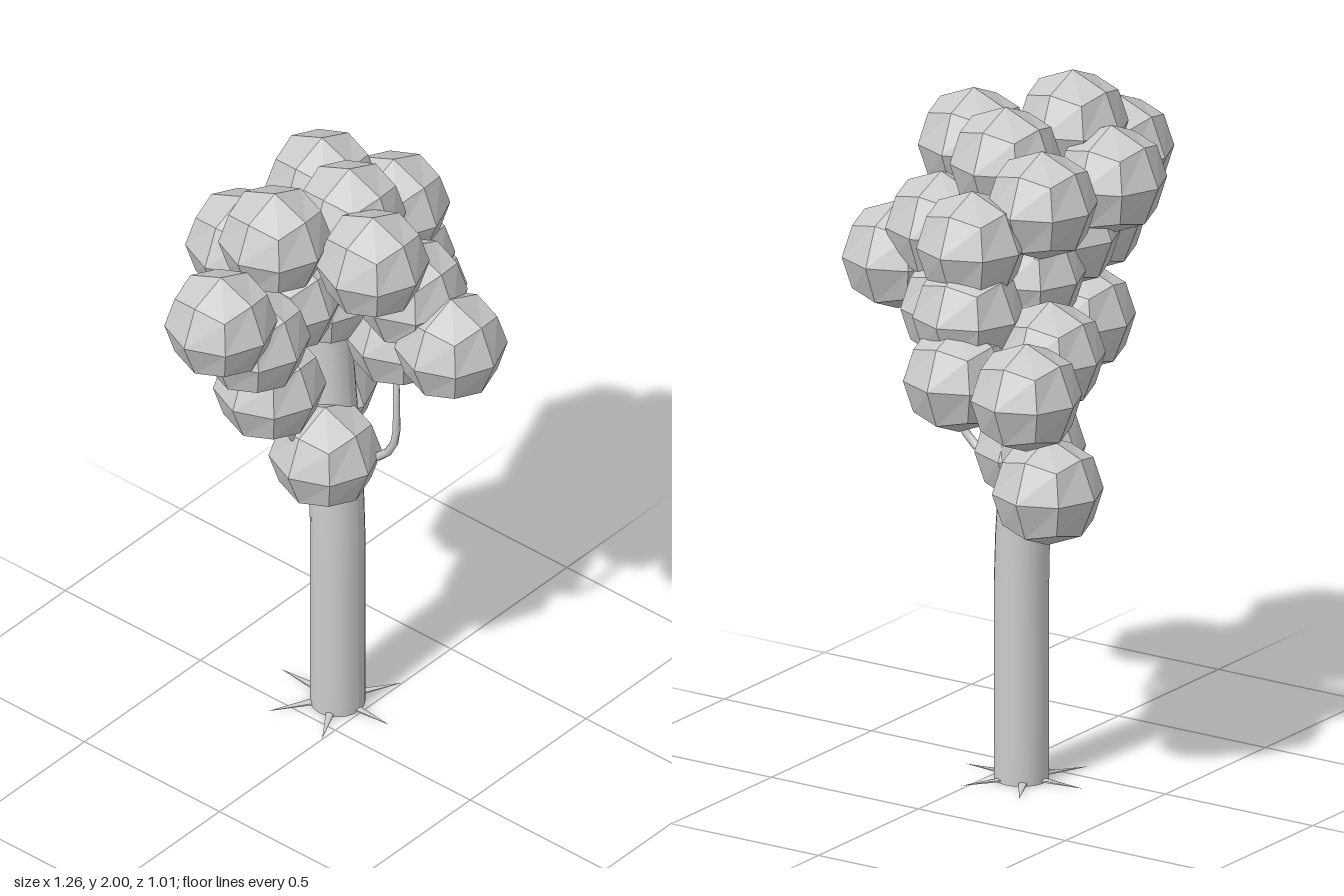
import * as THREE from 'three';

const V = (x, y, z) => new THREE.Vector3(x, y, z);
const TRUNK = { x: 0.11, z: -0.085, r: 0.078, h: 1.46 };

// the trunk leans gently backwards above its middle
const lean = (y) => -0.035 * THREE.MathUtils.smoothstep(y, 0.55, 1.4);

function trunkGeometry() {
  const g = new THREE.CylinderGeometry(TRUNK.r, TRUNK.r, TRUNK.h, 24, 10);
  g.translate(0, TRUNK.h / 2, 0);
  const p = g.attributes.position;
  for (let i = 0; i < p.count; i++) {
    const y = p.getY(i);
    const s = 1 - 0.14 * THREE.MathUtils.smoothstep(y, 0.6, 1.4);
    p.setXYZ(i, p.getX(i) * s + TRUNK.x, y, p.getZ(i) * s + TRUNK.z + lean(y));
  }
  g.computeVertexNormals();
  return g;
}

// a cube with 2 x 2 faces per side, pushed out onto a sphere
function leafBallGeometry(radius) {
  const g = new THREE.BoxGeometry(1, 1, 1, 2, 2, 2);
  const p = g.attributes.position;
  const v = new THREE.Vector3();
  for (let i = 0; i < p.count; i++) {
    v.fromBufferAttribute(p, i).setLength(radius);
    p.setXYZ(i, v.x, v.y, v.z);
  }
  g.computeVertexNormals();
  return g;
}

// a tube that narrows from its base to its tip
function branchGeometry(points, r0, r1) {
  const curve = new THREE.CatmullRomCurve3(points);
  const n = 12, sides = 8;
  const g = new THREE.TubeGeometry(curve, n, 1, sides);
  const p = g.attributes.position;
  const v = new THREE.Vector3();
  for (let i = 0; i < p.count; i++) {
    const t = Math.floor(i / (sides + 1)) / n;
    const c = curve.getPointAt(t);
    v.fromBufferAttribute(p, i).sub(c).multiplyScalar(r0 + (r1 - r0) * t).add(c);
    p.setXYZ(i, v.x, v.y, v.z);
  }
  return g;
}

export function createModel() {
  const tree = new THREE.Group();
  tree.name = 'tree';
  const smooth = new THREE.MeshStandardMaterial({ color: 0xcccccc });
  const flat = new THREE.MeshStandardMaterial({ color: 0xcccccc, flatShading: true });
  const add = (name, geometry, material) => {
    const mesh = new THREE.Mesh(geometry, material);
    mesh.name = name;
    tree.add(mesh);
    return mesh;
  };

  add('trunk', trunkGeometry(), smooth);

  // roots: six thin spikes lying on the ground
  for (let i = 0; i < 6; i++) {
    const a = (i * Math.PI) / 3;
    const g = new THREE.ConeGeometry(0.016, 0.15, 6);
    g.rotateX(Math.PI / 2);
    g.scale(1, 0.4, 1);
    g.translate(0, 0.0075, 0.125);
    g.rotateY(a);
    g.translate(TRUNK.x, 0, TRUNK.z - 0.01);
    add('root', g, flat);
  }

  // foliage: equal faceted balls
  const balls = [
    [-0.47, 1.695, -0.02], [-0.22, 1.84, -0.035], [-0.07, 1.785, 0.2],
    [0.05, 1.795, 0.01], [0.17, 1.735, -0.195], [-0.17, 1.72, -0.2],
    [0.325, 1.635, -0.063], [-0.31, 1.54, -0.035], [-0.115, 1.555, -0.08],
    [0.1, 1.585, 0.195], [0.1, 1.47, 0.343], [0.15, 1.375, 0.11],
    [0.355, 1.44, -0.07], [0.06, 1.48, -0.08], [-0.19, 1.285, -0.08],
    [0.43, 1.275, -0.09], [0.468, 1.275, -0.345], [0.255, 1.33, -0.28],
    [0.015, 0.945, -0.05], [0.265, 0.93, -0.28],
  ];
  const ballGeometry = leafBallGeometry(0.16);
  for (const [x, y, z] of balls) {
    add('leafBall', ballGeometry, flat).position.set(x, y, z);
    // crown balls are carried by branches from the top of the trunk
    if (y > 1.4 || x > 0.4) {
      const y0 = y > 1.4 ? 1.38 : 1.2;
      const start = V(TRUNK.x, y0, TRUNK.z + lean(y0));
      const end = V(x, y, z);
      const mid = start.clone().lerp(end, 0.55);
      mid.y -= 0.02;
      add('crownBranch', branchGeometry([start, mid, end], 0.022, 0.008), smooth);
    }
  }

  // long curved branches that leave the trunk lower down
  const low = [
    [V(0.1, 0.94, -0.06), V(0.095, 0.945, 0.07), V(0.095, 1.02, 0.135), V(0.095, 1.17, 0.145), V(0.13, 1.35, 0.11)],
    [V(0.08, 0.93, -0.09), V(-0.03, 0.98, -0.08), V(-0.1, 1.06, -0.08), V(-0.135, 1.15, -0.08), V(-0.18, 1.28, -0.08)],
    [V(0.12, 0.85, -0.1), V(0.21, 0.9, -0.19), V(0.25, 1.05, -0.225), V(0.255, 1.18, -0.23), V(0.255, 1.32, -0.28)],
  ];
  for (const points of low) add('lowBranch', branchGeometry(points, 0.014, 0.008), smooth);

  // short twigs to the two lowest balls
  add('twig', branchGeometry([V(0.13, 0.8, -0.1), V(0.2, 0.82, -0.2), V(0.265, 0.93, -0.28)], 0.016, 0.01), smooth);
  add('twig', branchGeometry([V(0.1, 0.84, -0.09), V(0.05, 0.88, -0.06), V(0.015, 0.945, -0.05)], 0.016, 0.01), smooth);

  return tree;
}
